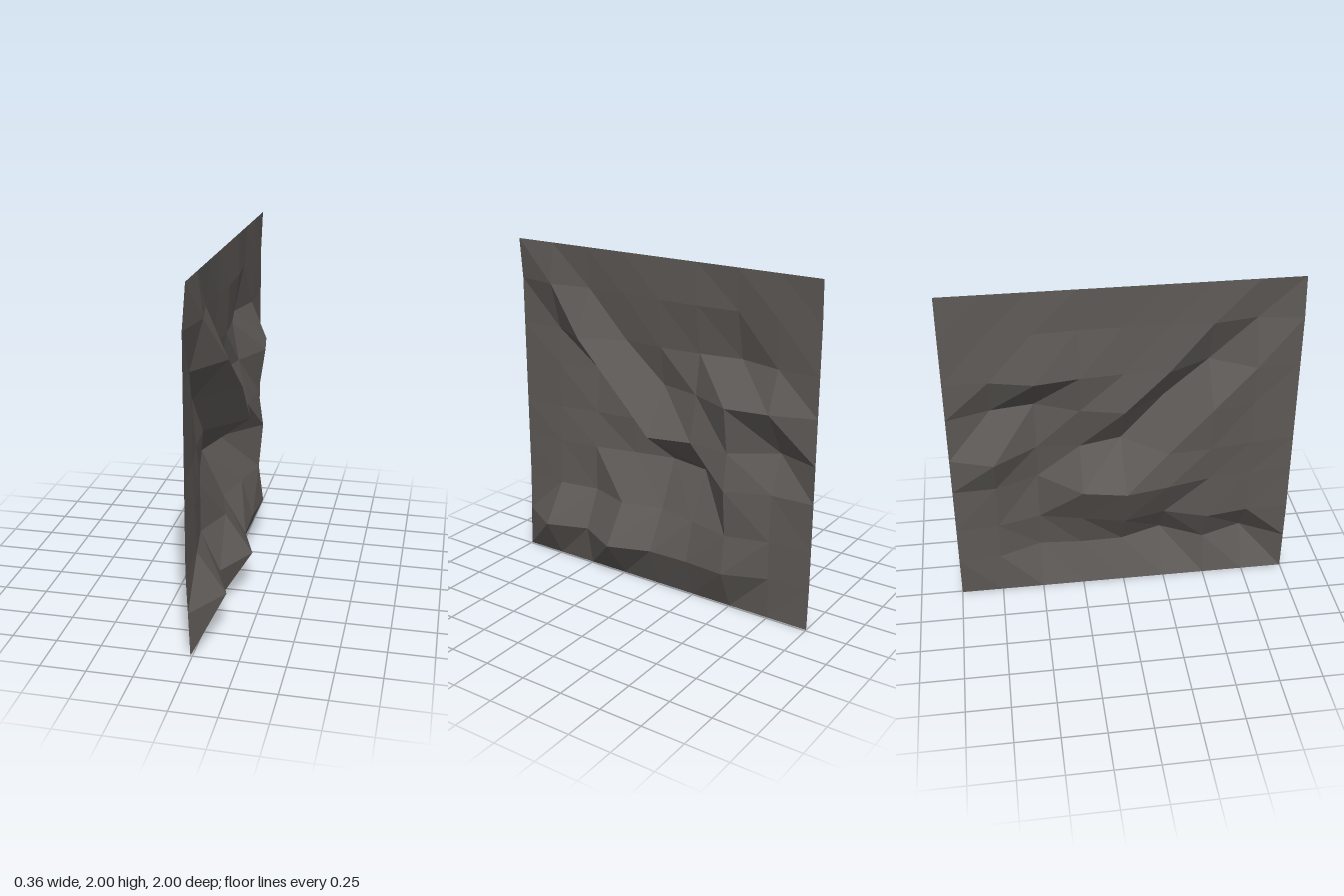
import * as THREE from 'three';

// Relief of the wall in hundredths: one row per height, running from z = 1 to z = -1.
const HEIGHTS = [0, 0.25, 0.48, 0.76, 0.98, 1.25, 1.48, 1.76, 2];
const RELIEF = [
  [-1, -1, -1, -1, -1, -1, -1, -1, -1],
  [-2, 13, 4, 17.5, 8.5, 8, 10, 0, -2],
  [-3, -3, -7, 1.5, -5, 1, 7, 0, -2],
  [-3, -4, -7, -13, -18, -13, 9.5, -1, -2],
  [-3, -5, -9, -11, 11, 4.5, 6.5, -10.5, -2],
  [-3, -5, -11, 11.5, -7, -1, 10.5, 6.5, -2],
  [-3, -6, 9, -5, -3, -5, -9, -3, -2],
  [-3, 1.5, -3, -2, -1, -1, -3, -1, -2],
  [-1, -1, -1, -1, -1, -1, -1, -1, -1],
];

export function createModel() {
  const group = new THREE.Group();
  group.name = 'rockWall';

  const point = (j, i) => [RELIEF[j][i] / 100, HEIGHTS[j], 1 - i * 0.25];
  const positions = [];
  for (let j = 0; j < 8; j++) {
    for (let i = 0; i < 8; i++) {
      const a = point(j, i), b = point(j, i + 1);
      const c = point(j + 1, i + 1), d = point(j + 1, i);
      // The two lowest rows are split along the other diagonal
      const corners = j < 2 ? [a, b, c, a, c, d] : [a, b, d, b, c, d];
      positions.push(...corners.flat());
    }
  }
  const geometry = new THREE.BufferGeometry();
  geometry.setAttribute('position', new THREE.Float32BufferAttribute(positions, 3));
  geometry.computeVertexNormals();

  const rock = new THREE.MeshStandardMaterial({ color: 0x5c5855, flatShading: true, side: THREE.DoubleSide });
  rock.name = 'dark rock';
  const wall = new THREE.Mesh(geometry, rock);
  wall.name = 'rockFace';
  group.add(wall);
  return group;
}
